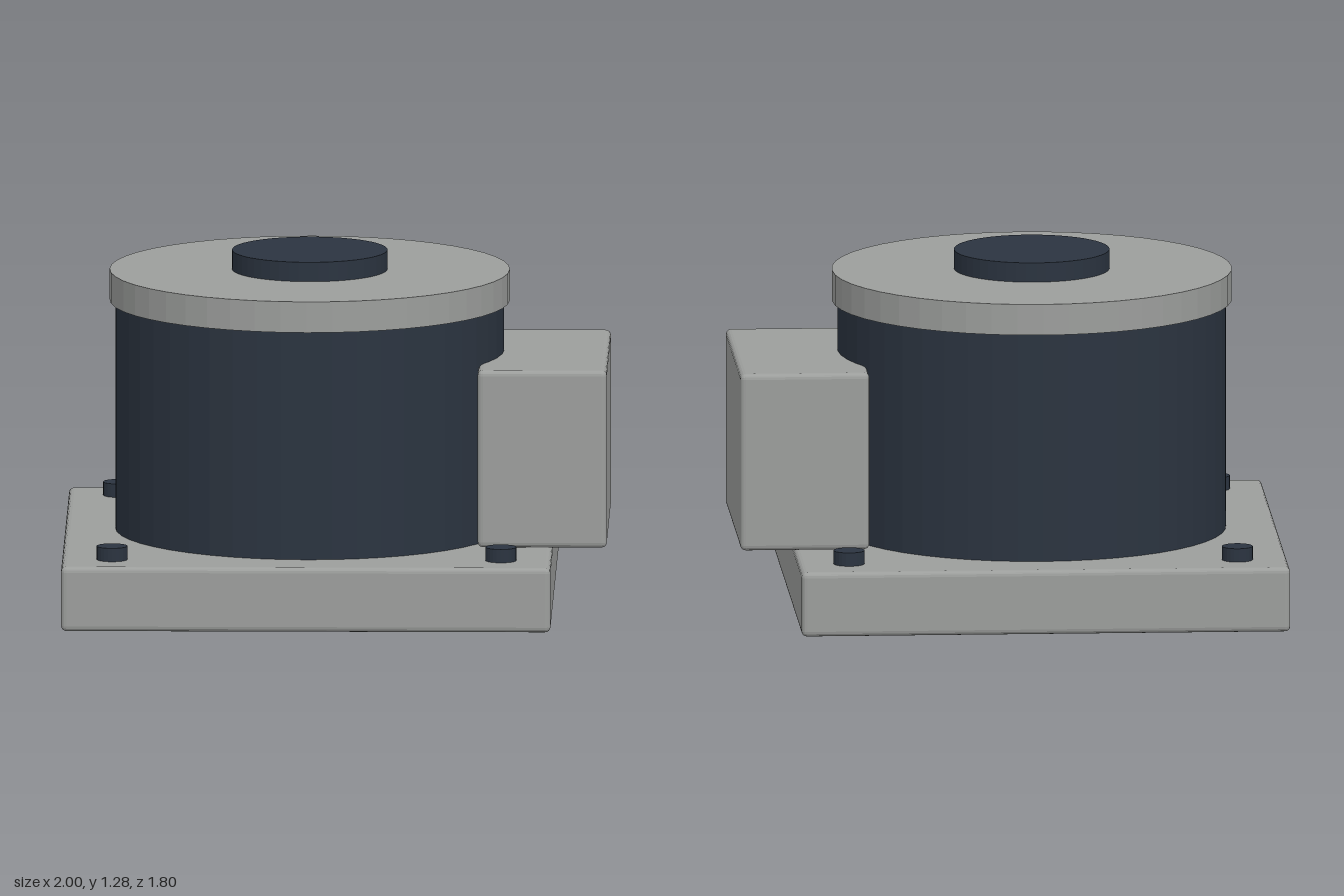
import * as THREE from 'three';
import { RoundedBoxGeometry } from 'three/addons/geometries/RoundedBoxGeometry.js';

export function createModel() {
  const model = new THREE.Group();
  model.name = 'motorUnit';

  const grey = new THREE.MeshStandardMaterial({ color: 0x9c9e9c, flatShading: true });
  grey.name = 'paintedGrey';
  const navy = new THREE.MeshStandardMaterial({ color: 0x2b3440, flatShading: true });
  navy.name = 'darkNavy';

  const add = (name, geometry, material, x, y, z) => {
    const mesh = new THREE.Mesh(geometry, material);
    mesh.name = name;
    mesh.position.set(x, y, z);
    model.add(mesh);
  };
  // Upright cylinder standing between two heights
  const drum = (name, radius, bottom, top, material, x, z, sides) =>
    add(name, new THREE.CylinderGeometry(radius, radius, top - bottom, sides), material, x, (bottom + top) / 2, z);
  // Box with softened edges, given by its limits
  const block = (name, x0, x1, y0, y1, depth) =>
    add(name, new RoundedBoxGeometry(x1 - x0, y1 - y0, depth, 2, 0.02), grey, (x0 + x1) / 2, (y0 + y1) / 2, 0);

  const axis = -0.1; // the drum stands over the centre of the base

  // Base plate and side terminal box
  block('basePlate', -1, 0.8, 0, 0.24, 1.8);
  block('terminalBox', 0.525, 1, 0.245, 0.905, 0.945);

  // Round housing, lid and hub
  drum('housing', 0.715, 0.235, 1.09, navy, axis, 0, 48);
  drum('lid', 0.736, 1.09, 1.205, grey, axis, 0, 48);
  drum('hub', 0.286, 1.2, 1.277, navy, axis, 0, 48);

  // Corner bolts
  for (const sx of [-1, 1])
    for (const sz of [-1, 1])
      drum('cornerBolt', 0.057, 0.23, 0.29, navy, axis + sx * 0.715, sz * 0.715, 24);

  return model;
}
